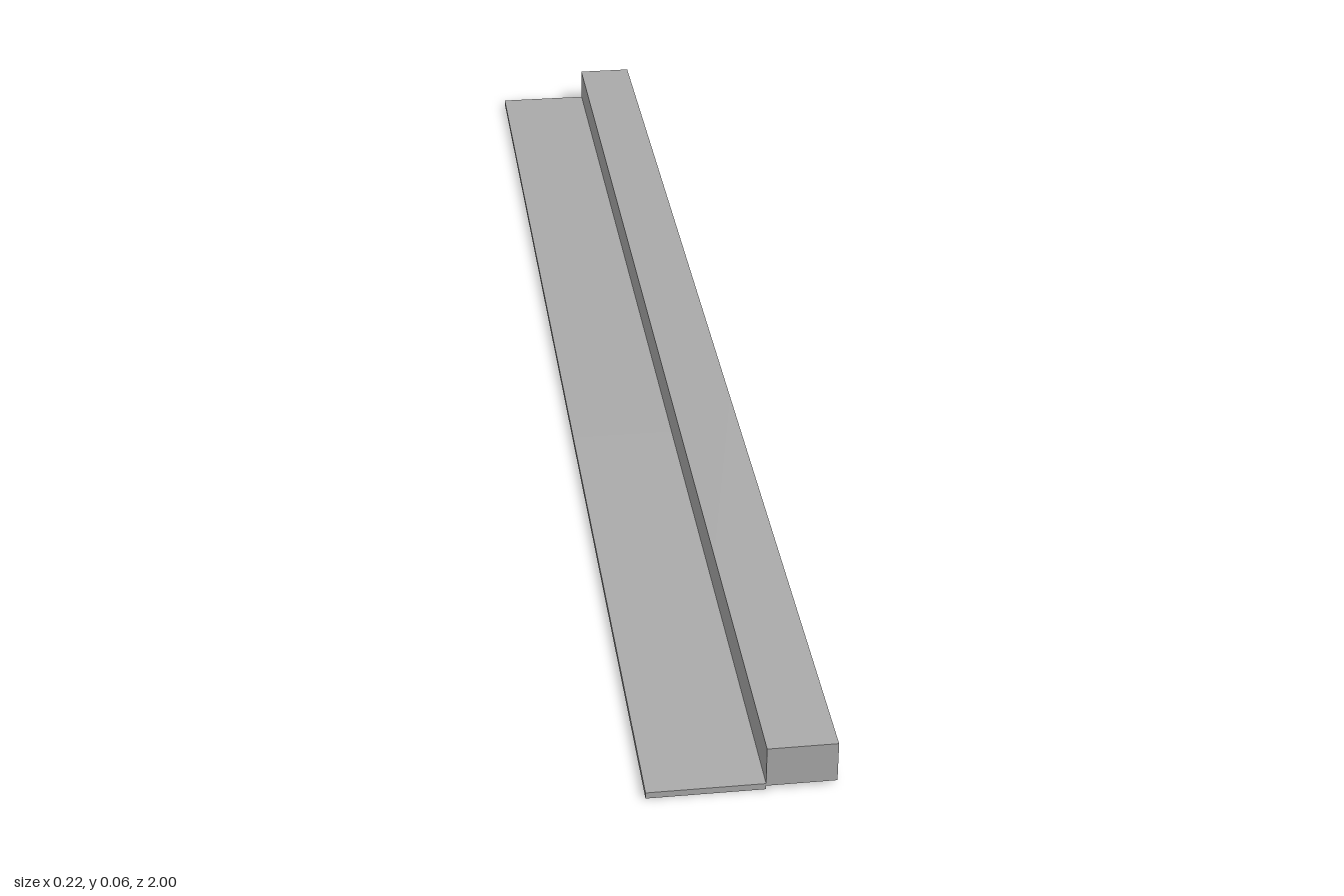
import * as THREE from 'three';

const SEGMENTS = 5;
const LENGTH = 2 / SEGMENTS;

// Outer cross-section (x, y): gutter edge, gutter top, kerb riser, kerb top, kerb back
const PROFILE = [
  [-0.111, 0], [-0.111, 0.008], [0.028, 0.008],
  [0.028, 0.057], [0.111, 0.057], [0.111, 0.005],
];
// Corners that close the end walls along the open underside
const UNDERSIDE = [[0.028, 0.005], [0.028, 0]];

// Open shell made by sweeping the cross-section along z
function shellGeometry(length) {
  const h = length / 2;
  const positions = [];
  for (let i = 0; i < PROFILE.length - 1; i++) {
    const [ax, ay] = PROFILE[i];
    const [bx, by] = PROFILE[i + 1];
    positions.push(ax, ay, h, bx, by, h, bx, by, -h);
    positions.push(ax, ay, h, bx, by, -h, ax, ay, -h);
  }
  const geometry = new THREE.BufferGeometry();
  geometry.setAttribute('position', new THREE.Float32BufferAttribute(positions, 3));
  geometry.computeVertexNormals();
  return geometry;
}

export function createModel() {
  const model = new THREE.Group();
  model.name = 'kerbAndGutter';

  const concrete = new THREE.MeshStandardMaterial({ color: 0xaaaaaa, side: THREE.DoubleSide });
  concrete.name = 'concrete grey';

  const shell = shellGeometry(LENGTH);
  const outline = [...PROFILE, ...UNDERSIDE].map(([x, y]) => new THREE.Vector2(x, y));
  const wall = new THREE.ShapeGeometry(new THREE.Shape(outline));

  // Hollow kerb lengths laid end to end
  for (let i = 0; i < SEGMENTS; i++) {
    const mesh = new THREE.Mesh(shell, concrete);
    mesh.name = `kerbSegment${i + 1}`;
    mesh.position.z = -1 + (i + 0.5) * LENGTH;
    model.add(mesh);
  }

  // Walls at both ends and at every joint
  for (let i = 0; i <= SEGMENTS; i++) {
    const mesh = new THREE.Mesh(wall, concrete);
    mesh.name = i === 0 || i === SEGMENTS ? 'endWall' : 'jointWall';
    mesh.position.z = -1 + i * LENGTH;
    if (i === 0) {
      // Back wall faces outward
      mesh.geometry = wall.clone();
      mesh.geometry.index.array.reverse();
      mesh.geometry.computeVertexNormals();
    }
    model.add(mesh);
  }

  return model;
}
